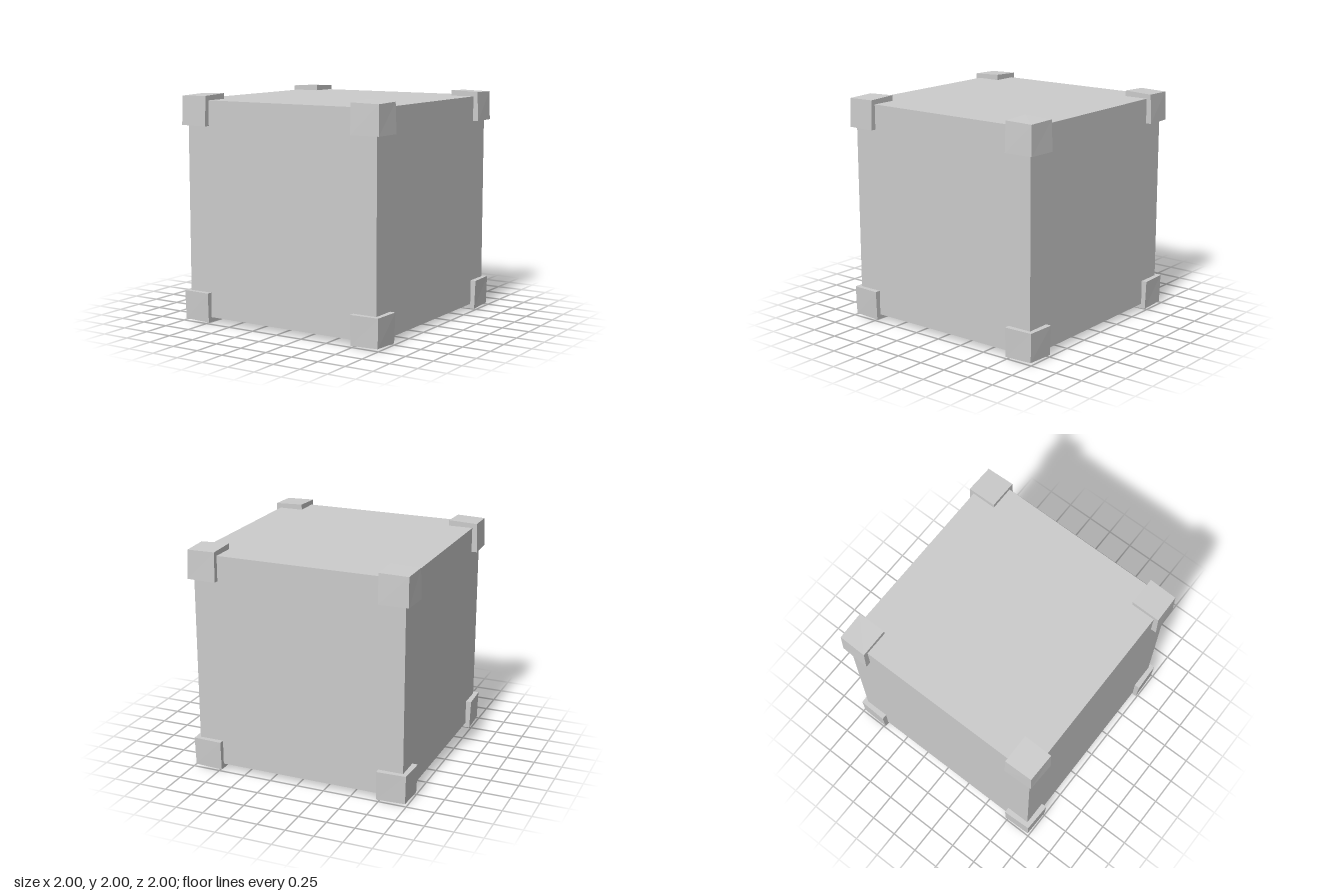
import * as THREE from 'three';

const INNER = 0.73;               // where each guard stops along the edges
const REACH = [0, 1.0, 0.99, 0.984]; // outer distance by number of outer sides a vertex touches

// Corner guard: a cube whose outer faces taper in slightly towards the corner
function cornerGeometry(signs) {
  const geometry = new THREE.BoxGeometry(1, 1, 1);
  const pos = geometry.attributes.position;
  for (let i = 0; i < pos.count; i++) {
    const v = [pos.getX(i), pos.getY(i), pos.getZ(i)];
    const outer = v.map((c, k) => c * signs[k] > 0);
    const reach = REACH[outer.filter(Boolean).length];
    pos.setXYZ(i, ...signs.map((s, k) => s * (outer[k] ? reach : INNER)));
  }
  geometry.computeVertexNormals();
  return geometry;
}

export function createModel() {
  const model = new THREE.Group();
  model.name = 'crate';
  const material = new THREE.MeshStandardMaterial({ color: 0xcccccc, flatShading: true });

  // Main cube
  const body = new THREE.Mesh(new THREE.BoxGeometry(1.9, 1.9, 1.9), material);
  body.name = 'body';
  body.position.y = 1;
  model.add(body);

  // Eight corner guards
  for (const x of [-1, 1]) for (const y of [-1, 1]) for (const z of [-1, 1]) {
    const guard = new THREE.Mesh(cornerGeometry([x, y, z]), material);
    guard.name = `${y > 0 ? 'top' : 'bottom'}${z > 0 ? 'Front' : 'Back'}${x > 0 ? 'Left' : 'Right'}Corner`;
    guard.position.y = 1;
    model.add(guard);
  }
  return model;
}
